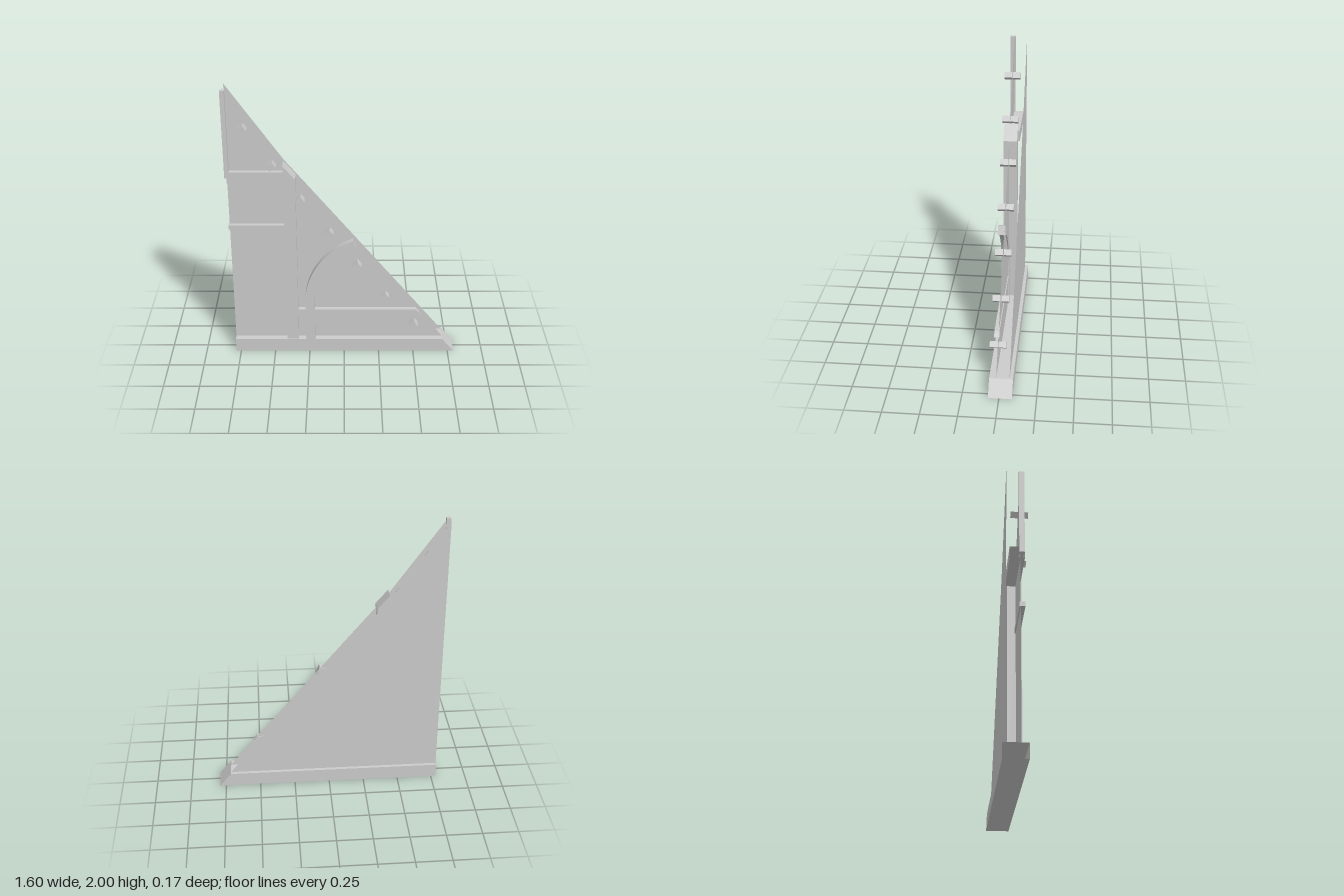
import * as THREE from 'three';

const material = new THREE.MeshStandardMaterial({ color: 0xcccccc, flatShading: true, side: THREE.DoubleSide });

const LEFT = -0.785;
// x of the lower roof slope at height y
const slopeX = (y) => 0.793 - y * (1.203 / 1.465);

function shapeOf(points) {
  return new THREE.Shape(points.map(([x, y]) => new THREE.Vector2(x, y)));
}

// Front outline extruded between two depths
function slab(shape, z0, z1) {
  return new THREE.ExtrudeGeometry(shape, { depth: z1 - z0, bevelEnabled: false, curveSegments: 16 }).translate(0, 0, z0);
}

// Removes the faces that look towards -x, leaving a hollow end
function openEnd(geometry) {
  const g = geometry.index ? geometry.toNonIndexed() : geometry;
  const p = g.attributes.position, n = g.attributes.normal, kept = [];
  for (let i = 0; i < p.count; i += 3) {
    if (n.getX(i) < -0.9) continue;
    for (let k = i; k < i + 3; k++) kept.push(p.getX(k), p.getY(k), p.getZ(k));
  }
  const out = new THREE.BufferGeometry();
  out.setAttribute('position', new THREE.Float32BufferAttribute(kept, 3));
  out.computeVertexNormals();
  return out;
}

export function createModel() {
  const model = new THREE.Group();
  model.name = 'timberGable';

  const add = (name, geometry) => {
    const mesh = new THREE.Mesh(geometry, material);
    mesh.name = name;
    model.add(mesh);
    return mesh;
  };
  const box = (x0, x1, y0, y1, z0, z1) =>
    new THREE.BoxGeometry(x1 - x0, y1 - y0, z1 - z0).translate((x0 + x1) / 2, (y0 + y1) / 2, (z0 + z1) / 2);

  // Two thin wall sheets with a kinked roof line
  const wall = shapeOf([[LEFT, 0.1], [slopeX(0.1), 0.1], [-0.41, 1.465], [LEFT, 2]]);
  add('frontWall', new THREE.ShapeGeometry(wall).translate(0, 0, 0.026));
  add('backWall', new THREE.ShapeGeometry(wall).translate(0, 0, -0.064));

  // Sill beam with a mitred right end and a hollow left end
  const sill = shapeOf([[LEFT, 0], [0.795, 0], [slopeX(0.1), 0.1], [LEFT, 0.1]]);
  add('sillBeam', openEnd(slab(sill, -0.0875, 0.073)));

  // Main post, cut to the roof slope
  const post = shapeOf([[-0.41, 0.1], [-0.328, 0.1], [-0.328, 1.372], [-0.41, 1.47]]);
  add('mainPost', slab(post, -0.03, 0.067));

  // Collar beam, upper edge post and middle rail
  add('collarBeam', openEnd(box(LEFT, -0.41, 1.34, 1.42, -0.042, 0.055)));
  add('upperPost', box(-0.8, -0.77, 1.375, 1.99, 0.018, 0.054));
  add('middleRail', box(-0.792, -0.41, 0.99, 1.022, 0.018, 0.055));

  // Lower rail, cut to the roof slope
  const rail = shapeOf([[-0.328, 0.31], [slopeX(0.31), 0.31], [slopeX(0.345), 0.345], [-0.328, 0.345]]);
  add('lowerRail', slab(rail, 0.02, 0.055));

  // Curved brace: straight leg, then an arc up to the roof slope
  const cx = 0.246, cy = 0.42, outer = 0.521, inner = 0.456;
  const end = THREE.MathUtils.degToRad(111);
  const brace = new THREE.Shape();
  brace.moveTo(cx - inner, 0.1);
  brace.lineTo(cx - inner, cy);
  brace.absarc(cx, cy, inner, Math.PI, end, true);
  brace.absarc(cx, cy, outer, end, Math.PI, false);
  brace.lineTo(cx - outer, 0.1);
  add('curvedBrace', slab(brace, 0.018, 0.071));

  // Purlin ends along the roof line
  const purlins = [
    [-0.67, 1.733], [-0.486, 1.472], [-0.3, 1.218], [-0.105, 0.965],
    [0.088, 0.71], [0.286, 0.458], [0.497, 0.223],
  ];
  for (const [x, y] of purlins) {
    const purlin = add('purlinEnd', new THREE.BoxGeometry(0.05, 0.042, 0.114));
    purlin.position.set(x, y, 0.0305);
    purlin.rotation.z = y > 1.465 ? 0.6 : 0.69;
  }

  return model;
}
